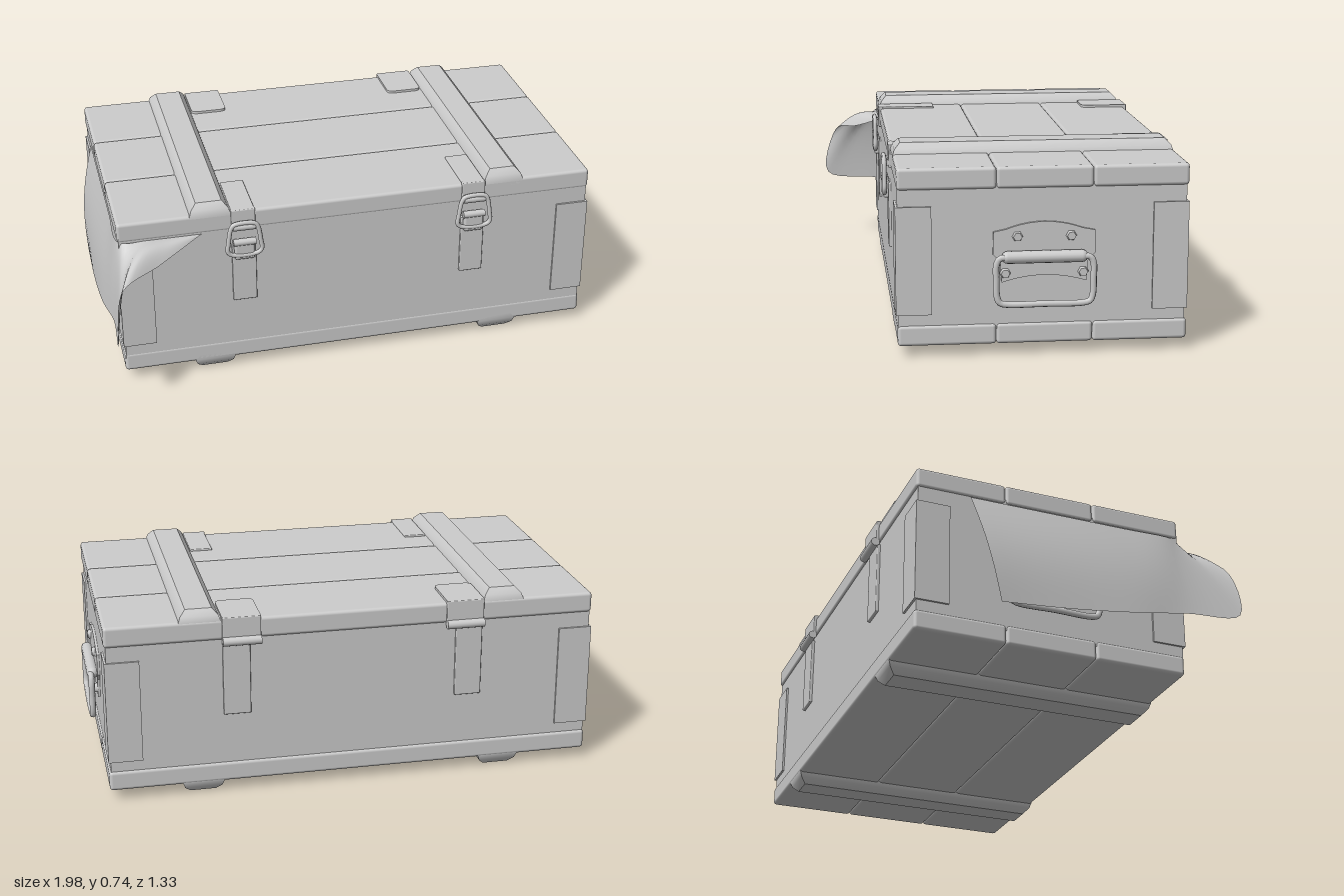
import * as THREE from 'three';
import { RoundedBoxGeometry } from 'three/addons/geometries/RoundedBoxGeometry.js';
import { toCreasedNormals } from 'three/addons/utils/BufferGeometryUtils.js';

const grey = new THREE.MeshStandardMaterial({ color: 0xcccccc });
grey.name = 'grey';
const clothGrey = grey.clone();
clothGrey.side = THREE.DoubleSide;

const V = (x, y, z) => new THREE.Vector3(x, y, z);

function add(parent, name, geometry, x = 0, y = 0, z = 0, material = grey) {
  const mesh = new THREE.Mesh(geometry, material);
  mesh.name = name;
  mesh.position.set(x, y, z);
  parent.add(mesh);
  return mesh;
}

// Box given by its limits, with optional rounded edges
function block(parent, name, [x0, x1], [y0, y1], [z0, z1], r = 0) {
  const w = x1 - x0, h = y1 - y0, d = z1 - z0;
  const geo = r ? new RoundedBoxGeometry(w, h, d, 2, r) : new THREE.BoxGeometry(w, h, d);
  return add(parent, name, geo, (x0 + x1) / 2, (y0 + y1) / 2, (z0 + z1) / 2);
}

function group(parent, name, x = 0, y = 0, z = 0) {
  const g = new THREE.Group();
  g.name = name;
  g.position.set(x, y, z);
  parent.add(g);
  return g;
}

function tube(points, radius, closed, segments = 64) {
  return new THREE.TubeGeometry(new THREE.CatmullRomCurve3(points, closed), segments, radius, 8, closed);
}

// Crosswise batten whose outer face is chamfered on all four sides
function battenGeometry() {
  const geo = new THREE.BoxGeometry(0.16, 0.07, 1.06, 1, 3, 1);
  const p = geo.attributes.position;
  const inset = [0.02, 0, 0.008, 0.03];
  for (let i = 0; i < p.count; i++) {
    const row = Math.round((p.getY(i) + 0.035) / 0.07 * 3);
    p.setX(i, p.getX(i) - Math.sign(p.getX(i)) * inset[row]);
    p.setZ(i, p.getZ(i) - Math.sign(p.getZ(i)) * (row === 0 ? 0 : inset[row]));
  }
  return toCreasedNormals(geo, 0.7);
}

// Plate with bolts, rolled hinge and hanging bail; faces +x
function handle(parent, name, x, z) {
  const g = group(parent, name, x, 0, z);
  const s = new THREE.Shape();
  s.moveTo(-0.155, 0.275);
  s.quadraticCurveTo(0, 0.325, 0.155, 0.275);
  s.lineTo(0.16, 0.35);
  s.lineTo(0.187, 0.38);
  s.lineTo(0.185, 0.463);
  s.lineTo(0.14, 0.472);
  s.quadraticCurveTo(0, 0.525, -0.14, 0.472);
  s.lineTo(-0.185, 0.463);
  s.lineTo(-0.187, 0.38);
  s.lineTo(-0.16, 0.35);
  const plate = new THREE.ExtrudeGeometry(s, { depth: 0.01, bevelEnabled: false, curveSegments: 10 });
  add(g, 'handlePlate', plate.rotateY(Math.PI / 2));

  const roll = new THREE.CapsuleGeometry(0.023, 0.27, 4, 14).rotateX(Math.PI / 2);
  add(g, 'handleRoll', roll, 0.026, 0.372, 0);

  const half = [[0.125, 0.372], [0.165, 0.37], [0.177, 0.345], [0.177, 0.29], [0.175, 0.23], [0.165, 0.206], [0.14, 0.199]];
  const path = [
    ...half.map(([a, y]) => V(0.034, y, a)),
    V(0.036, 0.199, 0),
    ...half.slice().reverse().map(([a, y]) => V(0.034, y, -a)),
  ];
  add(g, 'handleBail', tube(path, 0.012, false));

  const bolt = new THREE.CylinderGeometry(0.016, 0.021, 0.016, 6).rotateZ(-Math.PI / 2);
  for (const side of [-1, 1]) {
    add(g, 'bolt', bolt, 0.015, 0.445, side * 0.098);
    add(g, 'bolt', bolt, 0.015, 0.31, side * 0.142);
  }
  return g;
}

// Front toggle latch: strap, tongue, wire loop and lid hook
function latch(parent, x) {
  const g = group(parent, 'latch', x, 0, 0);
  block(g, 'latchStrap', [-0.047, 0.047], [0.31, 0.56], [0.425, 0.441], 0.004);
  block(g, 'latchTongue', [-0.04, 0.04], [0.5, 0.575], [0.435, 0.46], 0.01);
  const bar = new THREE.CylinderGeometry(0.014, 0.014, 0.088, 12).rotateZ(Math.PI / 2);
  add(g, 'latchPivot', bar, 0, 0.575, 0.452);
  block(g, 'latchHook', [-0.047, 0.047], [0.62, 0.708], [0.42, 0.44], 0.004);
  add(g, 'latchHookCurl', bar, 0, 0.64, 0.45);
  block(g, 'latchTopPlate', [-0.045, 0.045], [0.69, 0.708], [0.2, 0.435], 0.004);
  const side = [[0.05, 0.525], [0.066, 0.54], [0.063, 0.58], [0.052, 0.64], [0.04, 0.655]];
  const path = [
    ...side.map(([a, y]) => V(a, y, 0.456)),
    ...side.slice().reverse().map(([a, y]) => V(-a, y, 0.456)),
  ];
  add(g, 'latchLoop', tube(path, 0.009, true));
}

// Rear hinge: leaf on the lid, barrel and leaf down the back
function hinge(parent, x, lidX) {
  const g = group(parent, 'hinge', 0, 0, 0);
  const s = new THREE.Shape();
  s.moveTo(-0.073, 0);
  s.lineTo(-0.073, -0.165);
  s.quadraticCurveTo(-0.073, -0.19, -0.045, -0.19);
  s.lineTo(0.045, -0.19);
  s.quadraticCurveTo(0.073, -0.19, 0.073, -0.165);
  s.lineTo(0.073, 0);
  const leaf = new THREE.ExtrudeGeometry(s, { depth: 0.014, bevelEnabled: false });
  add(g, 'hingeTopLeaf', leaf.rotateX(-Math.PI / 2), lidX, 0.696, -0.633);
  // Leaf outline extends toward the front of the lid
  block(g, 'hingeLidEdge', [lidX - 0.073, lidX + 0.073], [0.62, 0.71], [-0.64, -0.62], 0.004);
  const barrel = new THREE.CylinderGeometry(0.017, 0.017, 0.146, 14).rotateZ(Math.PI / 2);
  add(g, 'hingeBarrel', barrel, lidX, 0.617, -0.643);
  block(g, 'hingeBackLeaf', [x - 0.052, x + 0.052], [0.32, 0.61], [-0.634, -0.615], 0.004);
}

// Loose cloth trapped under the lid, hanging over the model's right end and front corner
function clothGeometry() {
  const top = new THREE.CatmullRomCurve3([
    V(-0.932, 0.618, -0.42), V(-0.932, 0.618, -0.1), V(-0.932, 0.618, 0.2), V(-0.932, 0.618, 0.4),
    V(-0.91, 0.62, 0.432), V(-0.82, 0.62, 0.432), V(-0.72, 0.62, 0.432), V(-0.61, 0.62, 0.432)]);
  const hem = new THREE.CatmullRomCurve3([
    V(-0.985, 0.18, -0.32), V(-0.99, 0.2, -0.05), V(-0.985, 0.235, 0.2), V(-0.965, 0.285, 0.44),
    V(-0.975, 0.315, 0.66), V(-0.945, 0.52, 0.622), V(-0.79, 0.562, 0.53), V(-0.615, 0.618, 0.434)]);
  const nu = 42, nv = 10;
  const geo = new THREE.PlaneGeometry(1, 1, nu, nv);
  const p = geo.attributes.position, uv = geo.attributes.uv;
  for (let i = 0; i < p.count; i++) {
    const u = uv.getX(i), v = 1 - uv.getY(i);
    const q = top.getPoint(u).lerp(hem.getPoint(u), v);
    const swell = Math.sin(Math.PI * v);
    q.x -= 0.024 * swell * Math.max(0, 1 - u / 0.5);
    q.y += 0.03 * swell * Math.max(0, Math.sin(Math.PI * (u - 0.4) / 0.6));
    p.setXYZ(i, q.x, q.y, q.z);
  }
  geo.computeVertexNormals();
  return geo;
}

export function createModel() {
  const model = new THREE.Group();
  model.name = 'storageChest';

  block(model, 'chestBody', [-0.927, 0.945], [0.1, 0.64], [-0.622, 0.43]);

  // Three planks each for lid and base
  const seams = [-0.63, -0.28, 0.073, 0.432];
  for (let i = 0; i < 3; i++) {
    const z = [seams[i], seams[i + 1]];
    block(model, 'lidPlank', [-0.932, 0.952], [0.62, 0.7], z, 0.013);
    block(model, 'basePlank', [-0.932, 0.952], [0.043, 0.12], z, 0.013);
  }

  // Battens above and below
  const batten = battenGeometry();
  for (const x of [-0.575, 0.595]) {
    add(model, 'lidBatten', batten, x, 0.705, -0.098);
    add(model, 'baseBatten', batten, x, 0.036, -0.098).rotation.z = Math.PI;
  }

  // Folded plates around the four upright corners
  for (const [xe, sx] of [[-0.927, -1], [0.945, 1]]) {
    for (const [ze, sz] of [[-0.622, -1], [0.43, 1]]) {
      const g = group(model, 'cornerPlate', xe, 0.36, ze);
      add(g, 'cornerFace', new THREE.BoxGeometry(0.13, 0.4, 0.008), -sx * 0.057, 0, sz * 0.004);
      add(g, 'cornerSide', new THREE.BoxGeometry(0.008, 0.4, 0.13), sx * 0.004, 0, -sz * 0.057);
    }
  }

  for (const x of [-0.449, 0.47]) latch(model, x);
  hinge(model, -0.44, -0.422);
  hinge(model, 0.46, 0.44);

  handle(model, 'leftHandle', 0.945, -0.1);
  handle(model, 'rightHandle', -0.927, -0.1).rotation.y = Math.PI;

  add(model, 'cloth', clothGeometry(), 0, 0, 0, clothGrey);
  return model;
}
